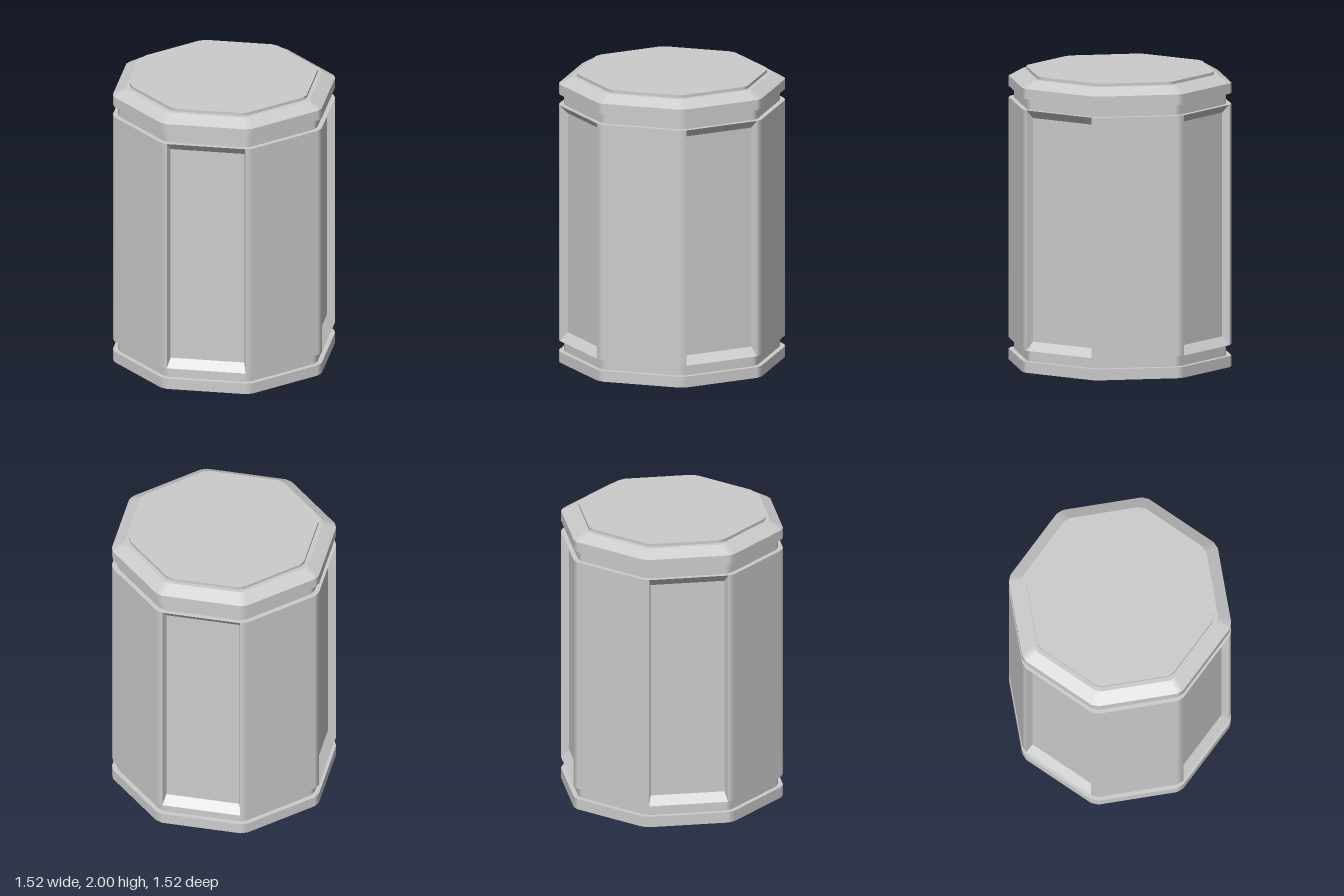
import * as THREE from 'three';

const material = new THREE.MeshStandardMaterial({ color: 0xcccccc });
const STEP = Math.PI / 4;
const CHAMFER = 0.025;
const RADIUS = 0.76, BODY_LOW = 0.15, BODY_HIGH = 1.785;

// Horizontal direction at an angle measured from +z towards +x
const dir = (a) => new THREE.Vector3(Math.sin(a), 0, Math.cos(a));

// Point i of 16 on the chamfered octagon: two points per corner
function ringPoint(i, r, y) {
  const a = Math.floor(i / 2) * STEP;
  const w = Math.min(CHAMFER, r) * (i % 2 ? 1 : -1);
  return dir(a).multiplyScalar(r).addScaledVector(dir(a + Math.PI / 2), w).setY(y);
}

// Direction of the octagon side that ring point i belongs to
const sideDir = (i) => dir(Math.floor(i / 2) * STEP + (i % 2 ? 0.5 : -0.5) * STEP);

// Collects quads (corners counterclockwise) and turns them into a mesh
class Surface {
  positions = [];
  normals = [];

  quad(corners, normals) {
    const [a, b, c] = corners;
    const flat = b.clone().sub(a).cross(c.clone().sub(a)).normalize();
    for (const k of [0, 1, 2, 0, 2, 3]) {
      this.positions.push(...corners[k].toArray());
      this.normals.push(...(normals ? normals[k] : flat).toArray());
    }
  }

  // Sweeps a bottom-to-top profile of [radius, y] round the octagon,
  // with shading blended across the narrow corner chamfers
  sweep(profile, skip = () => false) {
    for (let s = 0; s + 1 < profile.length; s++) {
      const [r0, y0] = profile[s], [r1, y1] = profile[s + 1];
      const normal = (i) => sideDir(i).multiplyScalar(y1 - y0).setY(r0 - r1).normalize();
      for (let i = 0; i < 16; i++) {
        if (skip(s, i)) continue;
        const n0 = normal(i), n1 = normal(i + 1);
        this.quad(
          [ringPoint(i, r0, y0), ringPoint(i + 1, r0, y0), ringPoint(i + 1, r1, y1), ringPoint(i, r1, y1)],
          [n0, n1, n1, n0]);
      }
    }
    return this;
  }

  mesh(name) {
    const geometry = new THREE.BufferGeometry();
    geometry.setAttribute('position', new THREE.Float32BufferAttribute(this.positions, 3));
    geometry.setAttribute('normal', new THREE.Float32BufferAttribute(this.normals, 3));
    const mesh = new THREE.Mesh(geometry, material);
    mesh.name = name;
    return mesh;
  }
}

// Sunken panel with sloped borders, filling the body side that starts at ring point i
function recessedPanel(i) {
  const depth = 0.053, sideInset = 0.016, endInset = 0.057;
  const n = sideDir(i);
  const along = ringPoint(i + 1, RADIUS, 0).sub(ringPoint(i, RADIUS, 0)).normalize();
  const outer = [
    ringPoint(i, RADIUS, BODY_LOW), ringPoint(i + 1, RADIUS, BODY_LOW),
    ringPoint(i + 1, RADIUS, BODY_HIGH), ringPoint(i, RADIUS, BODY_HIGH),
  ];
  const inner = outer.map((p, k) => {
    const q = p.clone().addScaledVector(n, -depth);
    q.addScaledVector(along, k === 0 || k === 3 ? sideInset : -sideInset);
    q.y += k < 2 ? endInset : -endInset;
    return q;
  });
  const surface = new Surface();
  surface.quad(inner);
  for (let k = 0; k < 4; k++) {
    const m = (k + 1) % 4;
    surface.quad([outer[k], outer[m], inner[m], inner[k]]);
  }
  return surface.mesh('recessedPanel');
}

export function createModel() {
  const group = new THREE.Group();
  group.name = 'octagonalCanister';

  // Foot band and lower groove
  group.add(new Surface().sweep([
    [0, 0], [RADIUS, 0], [RADIUS, 0.075], [0.725, 0.075], [0.725, BODY_LOW],
  ]).mesh('base'));

  // Body wall, left open where the panels go on every second side
  const isPanel = (i) => i % 4 === 1;
  group.add(new Surface().sweep([
    [0.725, BODY_LOW], [RADIUS, BODY_LOW], [RADIUS, BODY_HIGH], [0.725, BODY_HIGH],
  ], (s, i) => s === 1 && isPanel(i)).mesh('body'));
  for (let i = 1; i < 16; i += 4) group.add(recessedPanel(i));

  // Upper groove, bevelled lid and raised top plate
  group.add(new Surface().sweep([
    [0.725, BODY_HIGH], [0.725, 1.86], [RADIUS, 1.86], [RADIUS, 1.93], [0.67, 1.98], [0.64, 1.98],
  ]).mesh('lid'));
  group.add(new Surface().sweep([[0.64, 1.98], [0.64, 2], [0, 2]]).mesh('topPlate'));

  return group;
}
